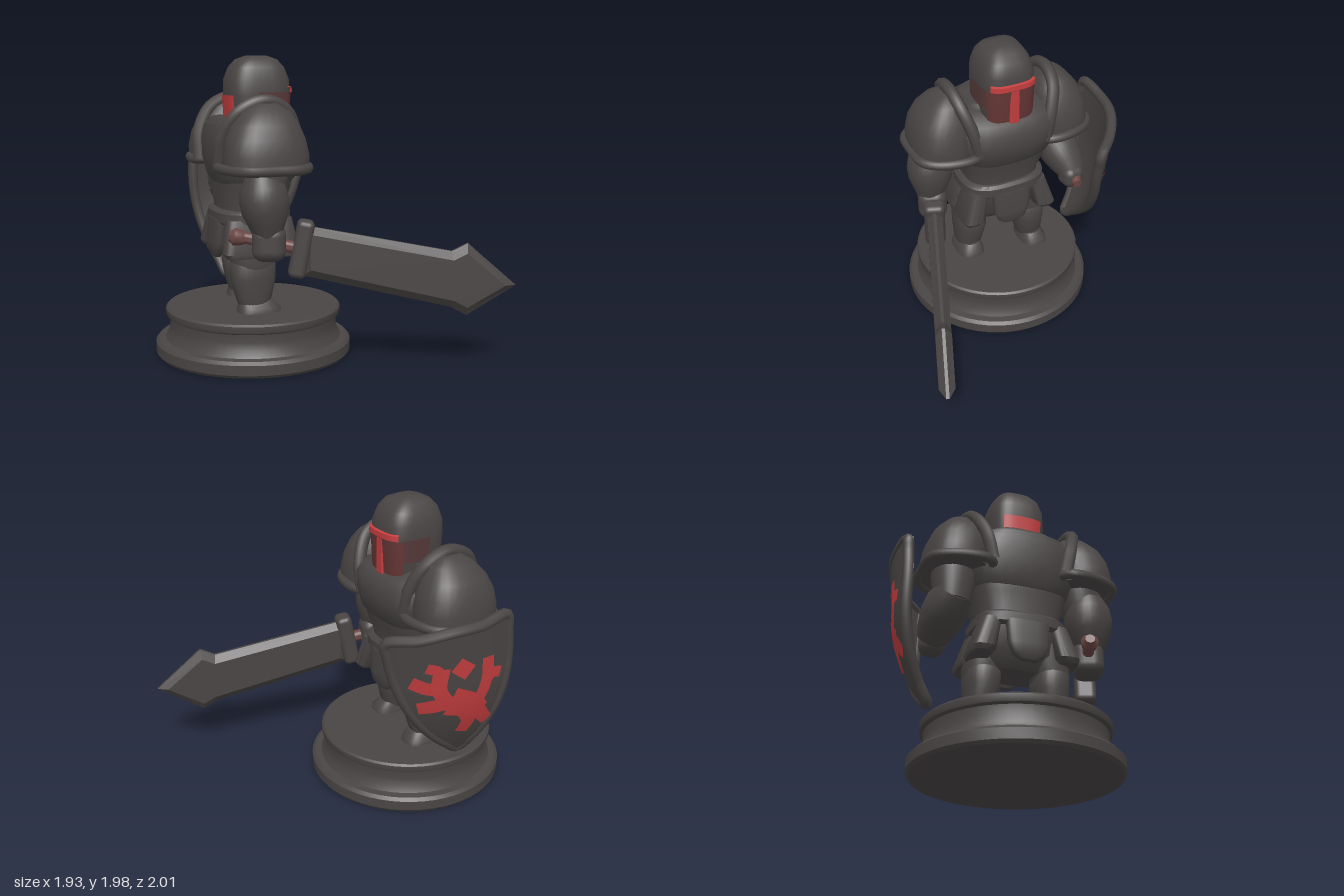
import * as THREE from 'three';
import { toCreasedNormals } from 'three/addons/utils/BufferGeometryUtils.js';
import { RoundedBoxGeometry } from 'three/addons/geometries/RoundedBoxGeometry.js';

const armor = new THREE.MeshStandardMaterial({ name: 'darkArmor', color: 0x4a4545 });
const red = new THREE.MeshStandardMaterial({ name: 'brightRed', color: 0xc23d3e });
const dimRed = new THREE.MeshStandardMaterial({ name: 'dimRed', color: 0x663636 });
const shadeRed = new THREE.MeshStandardMaterial({ name: 'dullRed', color: 0x573939 });
const grip = new THREE.MeshStandardMaterial({ name: 'leatherGrip', color: 0x6a4643 });
const V = (x, y, z) => new THREE.Vector3(x, y, z);

function add(parent, name, geometry, material = armor, x = 0, y = 0, z = 0) {
  const mesh = new THREE.Mesh(geometry, material);
  mesh.name = name;
  mesh.position.set(x, y, z);
  parent.add(mesh);
  return mesh;
}

// Stacked superellipse rings [y, halfX, halfZ, centreX, centreZ]; an open arc makes a thin strip
function loft(rows, power = 2.6, a0 = 0, a1 = Math.PI * 2, n = 28) {
  const pos = [], idx = [], full = a1 - a0 > 6.28;
  const bend = (c) => Math.sign(c) * Math.abs(c) ** (2 / power);
  for (const [y, hx, hz, cx = 0, cz = 0] of rows)
    for (let i = 0; i <= n; i++) {
      const a = a0 + ((full ? i % n : i) / n) * (a1 - a0);
      pos.push(cx + hx * bend(Math.cos(a)), y, cz + hz * bend(Math.sin(a)));
    }
  for (let j = 0; j < rows.length - 1; j++)
    for (let i = 0; i < n; i++) {
      const a = j * (n + 1) + i, c = a + n + 1;
      idx.push(a, c, a + 1, a + 1, c, c + 1);
    }
  if (full) {
    for (const end of [0, rows.length - 1]) {
      const [y, , , cx = 0, cz = 0] = rows[end];
      const centre = pos.length / 3, s = end * (n + 1);
      pos.push(cx, y, cz);
      for (let i = 0; i < n; i++) idx.push(centre, s + i + (end ? 1 : 0), s + i + (end ? 0 : 1));
    }
  }
  const g = new THREE.BufferGeometry();
  g.setAttribute('position', new THREE.Float32BufferAttribute(pos, 3));
  g.setIndex(idx);
  return toCreasedNormals(g, 0.75);
}

// Round limb between two points with radii spread evenly along it
function limb(parent, name, from, to, radii, material = armor) {
  const length = from.distanceTo(to);
  const rows = radii.map((r, i) => [(i / (radii.length - 1)) * length, r, r]);
  const mesh = add(parent, name, loft(rows, 2.2), material, from.x, from.y, from.z);
  mesh.quaternion.setFromUnitVectors(V(0, 1, 0), to.clone().sub(from).normalize());
}

const tube = (points, radius, closed = false) =>
  new THREE.TubeGeometry(new THREE.CatmullRomCurve3(points, closed), 48, radius, 8, closed);

function buildBase(root) {
  const profile = [[0, 0], [0.64, 0], [0.655, 0.02], [0.655, 0.085], [0.635, 0.105], [0.59, 0.11], [0.568, 0.15],
    [0.558, 0.2], [0.562, 0.255], [0.58, 0.265], [0.585, 0.28], [0.585, 0.31], [0.572, 0.322], [0, 0.322]];
  const g = new THREE.LatheGeometry(profile.map(([r, y]) => new THREE.Vector2(r, y)), 56);
  add(root, 'base', toCreasedNormals(g, 0.6), armor, -0.31, 0, -0.19);
}

// Body, built facing +x about its own axis
function buildBody(root) {
  const body = new THREE.Group();
  body.name = 'body';
  body.position.set(-0.33, 0, -0.21);
  body.rotation.y = -0.14;
  root.add(body);

  add(body, 'abdomen', loft([[0.9, 0.22, 0.27], [1.0, 0.21, 0.26], [1.12, 0.24, 0.3, 0.01], [1.25, 0.25, 0.32, 0.02]], 3));
  add(body, 'breastplate', loft([[1.16, 0.245, 0.3, 0.01], [1.2, 0.275, 0.33, 0.02], [1.32, 0.3, 0.37, 0.02],
    [1.43, 0.3, 0.38, 0.02], [1.49, 0.275, 0.35, 0], [1.54, 0.2, 0.29, -0.06]], 2.8));
  add(body, 'collar', loft([[1.46, 0.2, 0.27, -0.06], [1.55, 0.2, 0.25, -0.05], [1.58, 0.18, 0.22, -0.04]], 3));
  add(body, 'belt', loft([[0.89, 0.235, 0.285], [0.905, 0.25, 0.3], [0.965, 0.25, 0.3], [0.985, 0.23, 0.28]], 3));
  add(body, 'pelvis', loft([[0.64, 0.12, 0.2], [0.74, 0.2, 0.26], [0.92, 0.22, 0.27]], 3));

  for (const f of [1, -1]) {
    add(body, f > 0 ? 'frontFlap' : 'backFlap', loft([[0.66, 0.02, 0.06, 0.23 * f], [0.69, 0.035, 0.1, 0.23 * f],
      [0.76, 0.04, 0.13, 0.23 * f], [0.92, 0.035, 0.14, 0.22 * f]], 3));
    for (const s of [1, -1]) add(body, 'hipPlate', loft([[0.69, 0.115, 0.06, 0.12 * f, 0.28 * s],
      [0.72, 0.135, 0.08, 0.12 * f, 0.27 * s], [0.93, 0.11, 0.065, 0.11 * f, 0.215 * s]], 3.5));
  }

  for (const s of [1, -1]) {
    // Legs
    const x = s > 0 ? -0.04 : 0.03, z = 0.21 * s;
    add(body, 'thigh', loft([[0.55, 0.12, 0.1, x, z], [0.66, 0.145, 0.12, x, z], [0.82, 0.14, 0.13, x - 0.01, z * 0.85]], 2.4));
    add(body, 'greave', loft([[0.35, 0.095, 0.08, x, z + 0.015 * s], [0.42, 0.12, 0.095, x, z + 0.01 * s],
      [0.54, 0.15, 0.11, x, z], [0.64, 0.15, 0.112, x, z], [0.69, 0.12, 0.09, x, z]], 2.4));
    add(body, 'foot', loft([[0.315, 0.145, 0.1, x + 0.03, z + 0.025 * s], [0.35, 0.14, 0.095, x + 0.03, z + 0.025 * s],
      [0.4, 0.11, 0.07, x + 0.015, z + 0.015 * s]], 2.8));

    // Shoulder plates with a raised inner crest and a lower rim
    add(body, 'pauldron', loft([[1.27, 0.265, 0.2, -0.015, 0.425 * s], [1.36, 0.27, 0.2, -0.015, 0.425 * s],
      [1.46, 0.25, 0.19, -0.015, 0.415 * s], [1.55, 0.21, 0.165, -0.01, 0.4 * s],
      [1.63, 0.15, 0.11, 0, 0.385 * s], [1.68, 0.07, 0.05, 0, 0.37 * s]], 2.5));
    add(body, 'pauldronCrest', tube([[-0.27, 1.28, 0.24], [-0.26, 1.46, 0.28], [-0.16, 1.63, 0.335], [0, 1.695, 0.35],
      [0.15, 1.63, 0.335], [0.235, 1.46, 0.28], [0.245, 1.28, 0.24]].map(([a, b, c]) => V(a, b, c * s)), 0.042));
    add(body, 'pauldronRim', tube([[-0.27, 1.28, 0.25], [-0.28, 1.28, 0.45], [-0.19, 1.28, 0.6], [-0.01, 1.28, 0.622],
      [0.16, 1.28, 0.6], [0.255, 1.28, 0.45], [0.245, 1.28, 0.25], [0, 1.3, 0.24]].map(([a, b, c]) => V(a, b, c * s)), 0.032, true));
  }

  // Helmet with its visor
  const helmet = new THREE.Group();
  helmet.name = 'helmet';
  helmet.position.x = 0.06;
  body.add(helmet);
  add(helmet, 'helmetShell', loft([[1.45, 0.18, 0.165], [1.52, 0.195, 0.178], [1.72, 0.208, 0.185], [1.82, 0.205, 0.18],
    [1.9, 0.175, 0.155], [1.95, 0.13, 0.12], [1.975, 0.06, 0.06]], 3.2, 0, Math.PI * 2, 40));
  add(helmet, 'visorPanel', loft([[1.5, 0.198, 0.181], [1.52, 0.201, 0.184], [1.73, 0.214, 0.191]], 3.2, -1, 1, 36), dimRed);
  for (const a of [-1.65, 1]) add(helmet, 'visorSide', loft([[1.59, 0.206, 0.187], [1.74, 0.214, 0.191]], 3.2, a, a + 0.65), shadeRed);
  add(helmet, 'rearPatch', loft([[1.58, 0.205, 0.187], [1.72, 0.214, 0.191]], 3.2, Math.PI - 0.55, Math.PI + 0.55), red);
  add(helmet, 'visorBrow', loft([[1.73, 0.2, 0.18], [1.737, 0.224, 0.196], [1.77, 0.222, 0.194], [1.778, 0.2, 0.18]], 3.2, -0.8, 0.8), red);
  add(helmet, 'visorNose', new RoundedBoxGeometry(0.035, 0.25, 0.07, 2, 0.012), red, 0.197, 1.61, 0);
}

function buildArms(root) {
  limb(root, 'swordUpperArm', V(-0.43, 1.05, 0.25), V(-0.4, 1.42, 0.2), [0.1, 0.14, 0.14]);
  limb(root, 'swordForearm', V(-0.43, 0.86, 0.28), V(-0.46, 1.24, 0.25), [0.085, 0.115, 0.145, 0.152, 0.14, 0.1]);
  limb(root, 'shieldUpperArm', V(-0.31, 1.05, -0.64), V(-0.28, 1.42, -0.62), [0.11, 0.14, 0.14]);
  limb(root, 'shieldForearm', V(-0.08, 0.89, -0.68), V(-0.34, 1.13, -0.64), [0.09, 0.12, 0.14, 0.14, 0.11]);
  const hand = add(root, 'swordHand', new RoundedBoxGeometry(0.21, 0.23, 0.2, 3, 0.07), armor, -0.42, 0.82, 0.27);
  hand.rotation.y = -0.48;
  add(root, 'shieldHand', new RoundedBoxGeometry(0.16, 0.16, 0.16, 3, 0.06), armor, -0.07, 0.88, -0.66);
  limb(root, 'shieldGrip', V(-0.07, 0.88, -0.67), V(0.04, 0.87, -0.64), [0.045, 0.045, 0.03], grip);
}

// Sword laid out along local x from pommel to tip
function buildSword(root) {
  const sword = new THREE.Group();
  sword.name = 'sword';
  sword.position.set(-0.62, 0.86, 0.16);
  sword.rotation.y = -0.479;
  root.add(sword);
  const outline = [[0.44, 0.07], [1.375, -0.1], [1.476, -0.05], [1.785, -0.32], [1.476, -0.515], [1.375, -0.46], [0.44, -0.25]];
  const blade = new THREE.ExtrudeGeometry(new THREE.Shape(outline.map(([x, y]) => new THREE.Vector2(x, y))),
    { depth: 0.02, bevelThickness: 0.04, bevelSize: 0.05, bevelOffset: -0.05, bevelSegments: 1 });
  add(sword, 'blade', blade, armor, 0, 0, -0.01);
  const guard = add(sword, 'crossGuard', new RoundedBoxGeometry(0.11, 0.37, 0.14, 3, 0.035), armor, 0.43, -0.08, 0);
  guard.rotation.z = -0.19;
  limb(sword, 'hilt', V(0.03, 0, 0), V(0.43, -0.08, 0), [0.035, 0.038, 0.038], grip);
  limb(sword, 'pommel', V(-0.02, 0.005, 0), V(0.08, -0.015, 0), [0.03, 0.055, 0.05, 0.035], grip);
}

// Shield: everything is drawn flat, then bowed sideways and curled in towards the tip
function buildShield(root) {
  const shield = new THREE.Group();
  shield.name = 'shield';
  shield.rotation.order = 'YXZ';
  shield.rotation.set(0.09, 2.67, 0.16);
  shield.position.set(-0.08, 0.88, -0.885);
  root.add(shield);
  const bow = (x, y) => 0.02 - 0.8 * x * x - 0.45 * Math.min(0, y - 0.1) ** 2;
  const width = (y) => 0.4 * (1 - Math.min(1, Math.max(0, (0.45 - y) / 0.96)) ** 2.4);
  const peak = (s) => 0.04 * (1 - Math.abs(s));

  const panel = new THREE.BoxGeometry(2, 1, 0.045, 16, 18, 1);
  const p = panel.attributes.position;
  for (let i = 0; i < p.count; i++) {
    const s = p.getX(i), t = p.getY(i) + 0.5, y = -0.51 + 0.96 * t, x = s * width(y);
    p.setXYZ(i, x, y + peak(s) * t, p.getZ(i) + bow(x, y));
  }
  panel.computeVertexNormals();
  add(shield, 'shieldPanel', panel);

  // Raised border
  const edge = [];
  for (let i = 0; i <= 10; i++) edge.push([width(0.45 - 0.096 * i), 0.45 - 0.096 * i]);
  const loop = [...edge, ...edge.slice(0, -1).reverse().map(([x, y]) => [-x, y]), [-0.2, 0.47], [0, 0.49], [0.2, 0.47]];
  add(shield, 'shieldBorder', new THREE.TubeGeometry(
    new THREE.CatmullRomCurve3(loop.map(([x, y]) => V(x * 0.96, y * 0.98, bow(x * 0.96, y))), true, 'centripetal'), 110, 0.036, 8, true));

  // Beast emblem from tapered ribbons: width at start, width at end, then path points
  const ribbons = [
    [0.1, 0.08, [-0.09, 0.26], [-0.12, 0.1], [-0.03, -0.03], [0.11, -0.03], [0.19, 0.1], [0.21, 0.25]],
    [0.22, 0.16, [-0.06, 0.01], [0.05, -0.05], [0.12, -0.14]],
    [0.11, 0.11, [0.0, 0.27], [0.08, 0.19]],
    [0.09, 0.09, [-0.28, 0.18], [-0.19, 0.13], [-0.1, 0.12]],
    [0.09, 0.11, [-0.26, -0.02], [-0.17, -0.01], [-0.05, 0.01]],
    [0.07, 0.08, [-0.18, 0.28], [-0.12, 0.25], [-0.1, 0.18]],
    [0.12, 0.08, [0.02, -0.06], [0.05, -0.17], [0.0, -0.28]],
    [0.12, 0.08, [0.08, -0.06], [0.13, -0.15], [0.18, -0.25]],
    [0.08, 0.07, [0.18, 0.09], [0.24, 0.12], [0.29, 0.1]],
  ];
  for (const [w0, w1, ...path] of ribbons) {
    const curve = new THREE.CatmullRomCurve3(path.map(([x, y]) => V(x, y, 0)));
    const g = new THREE.PlaneGeometry(1, 1, 14, 4), q = g.attributes.position;
    for (let i = 0; i < q.count; i++) {
      const t = THREE.MathUtils.clamp(q.getX(i) + 0.5, 0, 1), c = curve.getPoint(t), d = curve.getTangent(t);
      const off = q.getY(i) * (w0 + (w1 - w0) * t), x = c.x - d.y * off, y = c.y + d.x * off;
      q.setXYZ(i, x, y, bow(x, y) + 0.03);
    }
    g.computeVertexNormals();
    add(shield, 'emblemStroke', g, red);
  }
}

export function createModel() {
  const root = new THREE.Group();
  root.name = 'knightFigurine';
  buildBase(root);
  buildBody(root);
  buildArms(root);
  buildSword(root);
  buildShield(root);
  return root;
}
